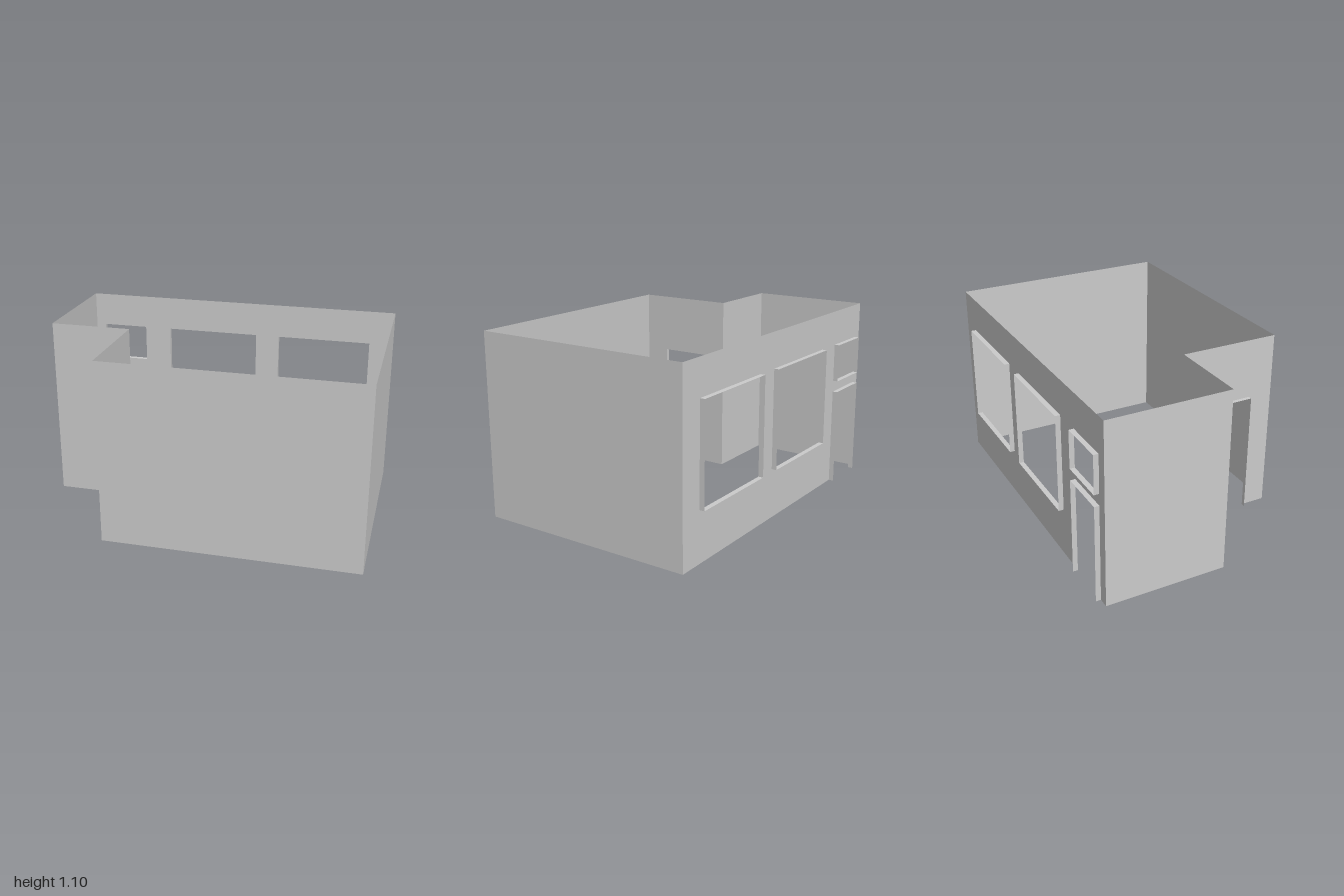
import * as THREE from 'three';

const HEIGHT = 1.1;
const material = new THREE.MeshStandardMaterial({ color: 0xcccccc, side: THREE.DoubleSide, flatShading: true });

// One sheet wall in its own XY plane, from u0 to u1.
// Openings are { name, x0, x1, y0, y1 }; those starting at y = 0 are doorways.
// Each opening gets a thin lining that stands out behind the wall by depth.
function makeWall(name, u0, u1, openings = [], depth = 0.03) {
  const group = new THREE.Group();
  group.name = name;

  const shape = new THREE.Shape();
  shape.moveTo(u0, 0);
  for (const o of openings.filter((o) => o.y0 === 0)) {
    shape.lineTo(o.x0, 0);
    shape.lineTo(o.x0, o.y1);
    shape.lineTo(o.x1, o.y1);
    shape.lineTo(o.x1, 0);
  }
  shape.lineTo(u1, 0);
  shape.lineTo(u1, HEIGHT);
  shape.lineTo(u0, HEIGHT);
  shape.closePath();
  for (const o of openings.filter((o) => o.y0 > 0)) {
    const hole = new THREE.Path();
    hole.moveTo(o.x0, o.y0);
    hole.lineTo(o.x0, o.y1);
    hole.lineTo(o.x1, o.y1);
    hole.lineTo(o.x1, o.y0);
    hole.closePath();
    shape.holes.push(hole);
  }
  const panel = new THREE.Mesh(new THREE.ShapeGeometry(shape), material);
  panel.name = name + 'Panel';
  group.add(panel);

  for (const o of openings) group.add(makeLining(o, depth));
  return group;
}

// Jambs, head and (for windows) sill of one opening
function makeLining({ name, x0, x1, y0, y1 }, depth) {
  const lining = new THREE.Group();
  lining.name = name + 'Lining';
  const add = (part, geometry, x, y) => {
    const mesh = new THREE.Mesh(geometry, material);
    mesh.name = name + part;
    mesh.position.set(x, y, -depth / 2);
    lining.add(mesh);
  };
  const jamb = new THREE.PlaneGeometry(depth, y1 - y0).rotateY(Math.PI / 2);
  const rail = new THREE.PlaneGeometry(x1 - x0, depth).rotateX(Math.PI / 2);
  const midX = (x0 + x1) / 2;
  const midY = (y0 + y1) / 2;
  add('JambA', jamb, x0, midY);
  add('JambB', jamb, x1, midY);
  add('Head', rail, midX, y1);
  if (y0 > 0) add('Sill', rail, midX, y0);
  return lining;
}

export function createModel() {
  const model = new THREE.Group();
  model.name = 'roomShell';

  const back = -0.65, front = 0.68;        // long walls
  const stepX = -0.51, stepZ = 0.08;       // recessed front corner

  // Back wall: doorway with a transom and two large windows
  const backWall = makeWall('backWall', -1, 1, [
    { name: 'backDoor', x0: -0.94, x1: -0.65, y0: 0, y1: 0.59 },
    { name: 'transom', x0: -0.94, x1: -0.65, y0: 0.66, y1: 0.89 },
    { name: 'middleWindow', x0: -0.48, x1: 0.11, y0: 0.3, y1: 0.89 },
    { name: 'leftWindow', x0: 0.26, x1: 0.85, y0: 0.3, y1: 0.89 },
  ]);
  backWall.position.z = back;

  // Walls parallel to the back
  const frontWall = makeWall('frontWall', stepX, 1);
  frontWall.position.z = front;
  const recessWall = makeWall('recessWall', -1, stepX);
  recessWall.position.z = stepZ;

  // Side walls: turned so that their own x runs along -z
  const leftWall = makeWall('leftWall', -front, -back);
  leftWall.position.x = 1;
  const rightWall = makeWall('rightWall', -stepZ, -back);
  rightWall.position.x = -1;
  const entryWall = makeWall('entryWall', -front, -stepZ, [
    { name: 'entryDoor', x0: -0.53, x1: -0.23, y0: 0, y1: 0.74 },
  ], 0.024);
  entryWall.position.x = stepX;
  for (const wall of [leftWall, rightWall, entryWall]) wall.rotation.y = Math.PI / 2;

  model.add(backWall, frontWall, recessWall, leftWall, rightWall, entryWall);
  return model;
}
